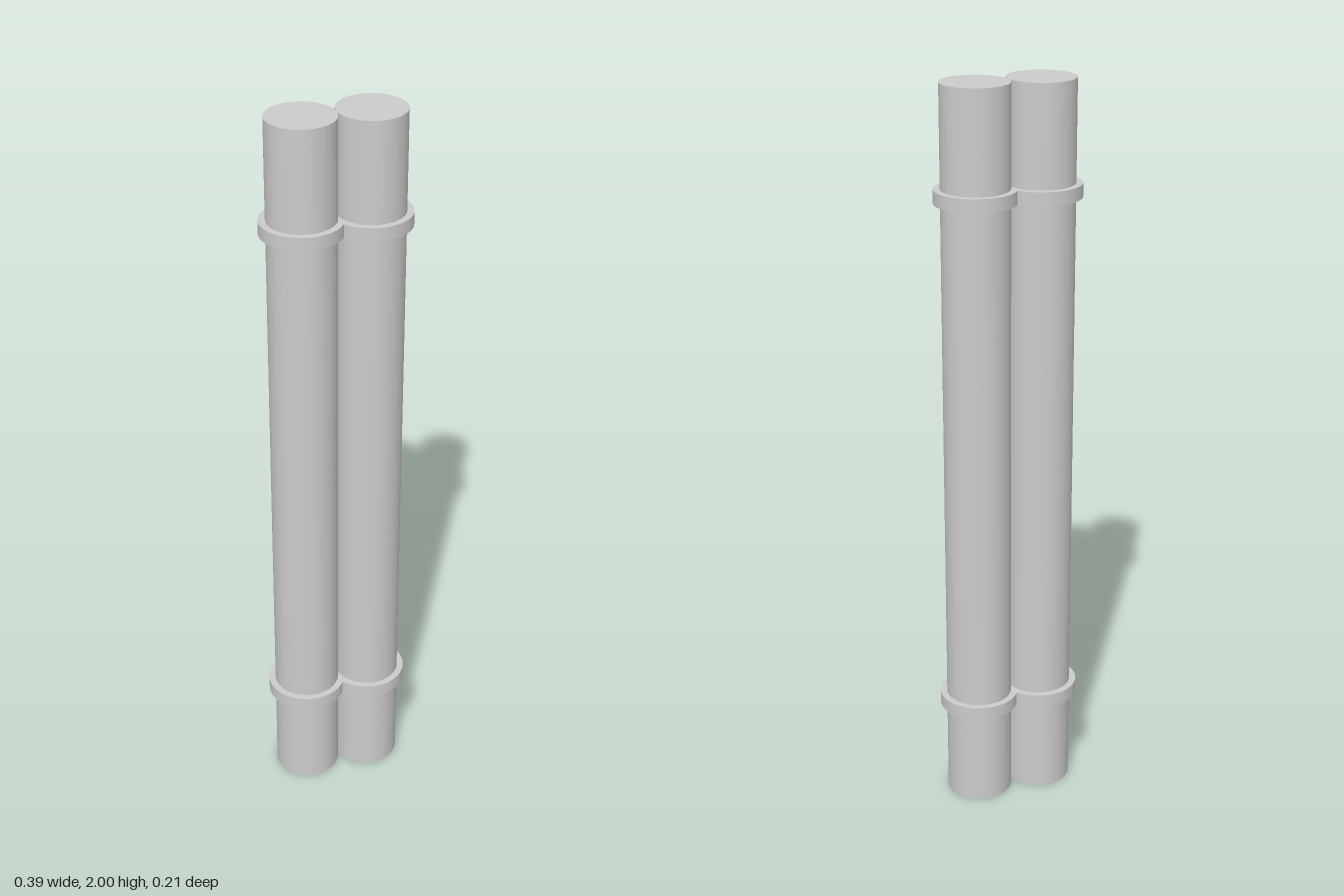
import * as THREE from 'three';
import { toCreasedNormals } from 'three/addons/utils/BufferGeometryUtils.js';

const HEIGHT = 2;
const ROD_R = 0.0893;
const BAND_R = 0.1071;
const BAND_H = 0.0357;

// Figure-eight outline: two overlapping circles, one around each rod
function bandGeometry() {
  const open = Math.PI - Math.acos(ROD_R / BAND_R);
  const outline = new THREE.Shape();
  outline.absarc(ROD_R, 0, BAND_R, -open, open, false);
  outline.absarc(-ROD_R, 0, BAND_R, Math.PI - open, Math.PI + open, false);
  const geo = new THREE.ExtrudeGeometry(outline, { depth: BAND_H, bevelEnabled: false, curveSegments: 48 });
  geo.rotateX(-Math.PI / 2).translate(0, -BAND_H / 2, 0);
  return toCreasedNormals(geo, Math.PI / 6);
}

export function createModel() {
  const model = new THREE.Group();
  model.name = 'twinRods';
  const material = new THREE.MeshStandardMaterial({ color: 0xcccccc });
  const add = (name, geometry, x, y) => {
    const mesh = new THREE.Mesh(geometry, material);
    mesh.name = name;
    mesh.position.set(x, y, 0);
    model.add(mesh);
  };

  // Two touching upright rods
  const rod = new THREE.CylinderGeometry(ROD_R, ROD_R, HEIGHT, 64);
  add('leftRod', rod, ROD_R, HEIGHT / 2);
  add('rightRod', rod, -ROD_R, HEIGHT / 2);

  // Bands that hold the rods together
  const band = bandGeometry();
  add('lowerBand', band, 0, 0.286);
  add('upperBand', band, 0, 1.716);

  return model;
}
